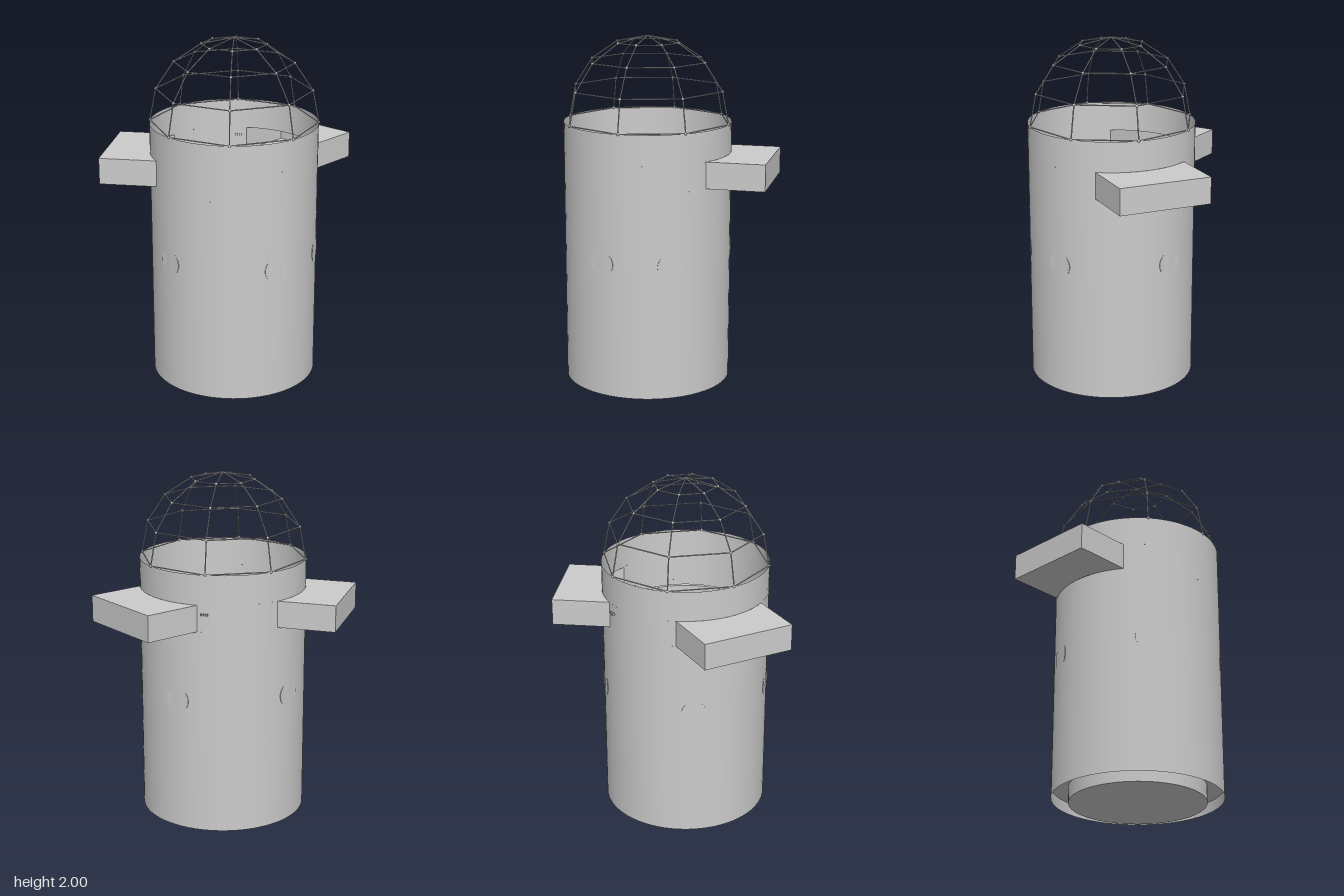
import * as THREE from 'three';
import { toCreasedNormals } from 'three/addons/utils/BufferGeometryUtils.js';

const R = 0.475; // outer wall radius
const TOP = 1.52; // wall rim height
const ALCOVE_Y = 1.2, ALCOVE_H = 0.15, HALF_W = 0.265, DEPTH = 0.72;
const deg = THREE.MathUtils.degToRad;

const grey = new THREE.MeshStandardMaterial({ color: 0xcccccc });
const greyOpen = new THREE.MeshStandardMaterial({ color: 0xcccccc, side: THREE.DoubleSide });

function add(parent, name, geometry, x = 0, y = 0, z = 0, material = grey) {
  const mesh = new THREE.Mesh(geometry, material);
  mesh.name = name;
  mesh.position.set(x, y, z);
  parent.add(mesh);
  return mesh;
}

// Group whose local +z points outward at the given angle around the axis
function radialGroup(parent, name, angle) {
  const g = new THREE.Group();
  g.name = name;
  g.rotation.y = deg(angle);
  parent.add(g);
  return g;
}

// Open piece of the outer wall between two heights and two angles
function wallBand(parent, name, y0, y1, start = 0, sweep = 2 * Math.PI) {
  const segments = Math.max(12, Math.round(72 * sweep / (2 * Math.PI)));
  const geo = new THREE.CylinderGeometry(R, R, y1 - y0, segments, 1, true, start, sweep);
  add(parent, name, geo, 0, (y0 + y1) / 2, 0, greyOpen);
}

// Outer wall with two openings into the side alcoves
function buildWall(parent) {
  const half = Math.asin(HALF_W / R), a = deg(118), top = ALCOVE_Y + ALCOVE_H;
  wallBand(parent, 'lowerWall', 0.025, ALCOVE_Y);
  wallBand(parent, 'upperWall', top, TOP);
  wallBand(parent, 'frontWallBand', ALCOVE_Y, top, half - a, 2 * (a - half));
  wallBand(parent, 'backWallBand', ALCOVE_Y, top, a + half, 2 * (Math.PI - a - half));
}

// Hollow box, curved where it meets the wall and open to the inside
function buildAlcove(parent, angle) {
  const g = radialGroup(parent, 'sideAlcove', angle);
  const t = 0.006;
  const near = Math.sqrt(R * R - HALF_W * HALF_W);
  const a = Math.atan2(near, HALF_W);
  const plan = new THREE.Shape();
  plan.moveTo(-HALF_W, near);
  plan.lineTo(-HALF_W, DEPTH);
  plan.lineTo(HALF_W, DEPTH);
  plan.lineTo(HALF_W, near);
  plan.absarc(0, 0, R, a, Math.PI - a, false);
  const slab = new THREE.ExtrudeGeometry(plan, { depth: t, bevelEnabled: false, curveSegments: 24 });
  slab.rotateX(Math.PI / 2);
  add(g, 'alcoveFloor', slab, 0, ALCOVE_Y + t, 0);
  add(g, 'alcoveRoof', slab, 0, ALCOVE_Y + ALCOVE_H, 0);
  const h = ALCOVE_H - 2 * t, y = ALCOVE_Y + ALCOVE_H / 2;
  add(g, 'alcoveEnd', new THREE.BoxGeometry(2 * HALF_W, h, t), 0, y, DEPTH - t / 2);
  const side = new THREE.BoxGeometry(t, h, DEPTH - near);
  for (const s of [-1, 1]) add(g, 'alcoveSide', side, s * (HALF_W - t / 2), y, (DEPTH + near) / 2);
}

// Inner open vessel with its flange, and the annular plate around its foot
function buildVessel(parent) {
  const profile = [[0, 0], [0.38, 0], [0.38, 1.18], [0.4, 1.18], [0.4, 1.2], [0.376, 1.2], [0.376, 0.04], [0, 0.04]]
    .map(([x, y]) => new THREE.Vector2(x, y));
  add(parent, 'innerVessel', toCreasedNormals(new THREE.LatheGeometry(profile, 72), 0.6), 0, 0, 0, greyOpen);
  const plate = new THREE.RingGeometry(0.375, R, 72);
  plate.rotateX(-Math.PI / 2);
  add(parent, 'annularPlate', plate, 0, 0.09, 0, greyOpen);
}

// Honeycomb of stepped hexagonal units on the vessel floor
function buildHoneycomb(parent) {
  const pitch = 0.0785, rowStep = 0.068;
  const base = new THREE.CylinderGeometry(0.037, 0.037, 0.03, 6).toNonIndexed();
  const step = new THREE.CylinderGeometry(0.02, 0.027, 0.03, 6).toNonIndexed();
  const bulb = new THREE.SphereGeometry(0.013, 10, 6);
  const g = new THREE.Group();
  g.name = 'honeycomb';
  parent.add(g);
  for (let row = -5; row <= 6; row++) {
    const z = row * rowStep - 0.05;
    for (let col = -6; col <= 6; col++) {
      const x = (col + (row % 2 ? 0.5 : 0)) * pitch;
      if (Math.hypot(x, z) > 0.342) continue;
      add(g, 'hexBase', base, x, 0.055, z);
      add(g, 'hexStep', step, x, 0.085, z);
      add(g, 'hexBulb', bulb, x, 0.103, z);
    }
  }
}

// Eight-sided wire dome of struts and small joints
function buildDome(parent) {
  const g = new THREE.Group();
  g.name = 'dome';
  parent.add(g);
  const node = (ring, i) => {
    const lat = deg(ring * 22.5), lon = deg(22.5 + 45 * i);
    const r = R * Math.cos(lat);
    return new THREE.Vector3(r * Math.sin(lon), TOP + 0.477 * Math.sin(lat), r * Math.cos(lon));
  };
  const joint = new THREE.SphereGeometry(0.008, 8, 6);
  const strut = (a, b) => {
    const geo = new THREE.CylinderGeometry(0.0035, 0.0035, a.distanceTo(b), 6);
    const mesh = add(g, 'domeStrut', geo);
    mesh.position.lerpVectors(a, b, 0.5);
    mesh.quaternion.setFromUnitVectors(new THREE.Vector3(0, 1, 0), b.clone().sub(a).normalize());
  };
  for (let ring = 0; ring < 4; ring++) {
    for (let i = 0; i < 8; i++) {
      const p = node(ring, i);
      add(g, 'domeJoint', joint, p.x, p.y, p.z);
      strut(p, node(ring, i + 1));
      strut(p, node(ring + 1, i));
    }
  }
}

// Round port plug whose flat end just breaks the curved wall
function buildPort(parent, angle) {
  const g = radialGroup(parent, 'port', angle);
  const geo = new THREE.CylinderGeometry(0.07, 0.07, 0.035, 40);
  geo.rotateX(Math.PI / 2);
  add(g, 'portPlug', geo, 0, 0.79, R - 0.0195);
}

// Four small fins standing out from a wall
function buildFins(parent, radius, y, height) {
  const g = radialGroup(parent, 'fins', 157);
  const geo = new THREE.BoxGeometry(0.003, height, 0.03);
  for (let i = 0; i < 4; i++) add(g, 'fin', geo, (i - 1.5) * 0.012, y, radius);
}

export function createModel() {
  const model = new THREE.Group();
  model.name = 'domedTank';
  const body = new THREE.Group();
  body.name = 'tankBody';
  body.position.z = 0.045;
  model.add(body);
  buildWall(body);
  for (const s of [-1, 1]) buildAlcove(body, s * 118);
  buildVessel(body);
  buildHoneycomb(body);
  buildDome(body);
  for (const angle of [10, 57, 137, 220, 292]) buildPort(body, angle);
  buildFins(body, R, 1.3, 0.012);
  buildFins(body, 0.38, 0.05, 0.06);
  return model;
}
